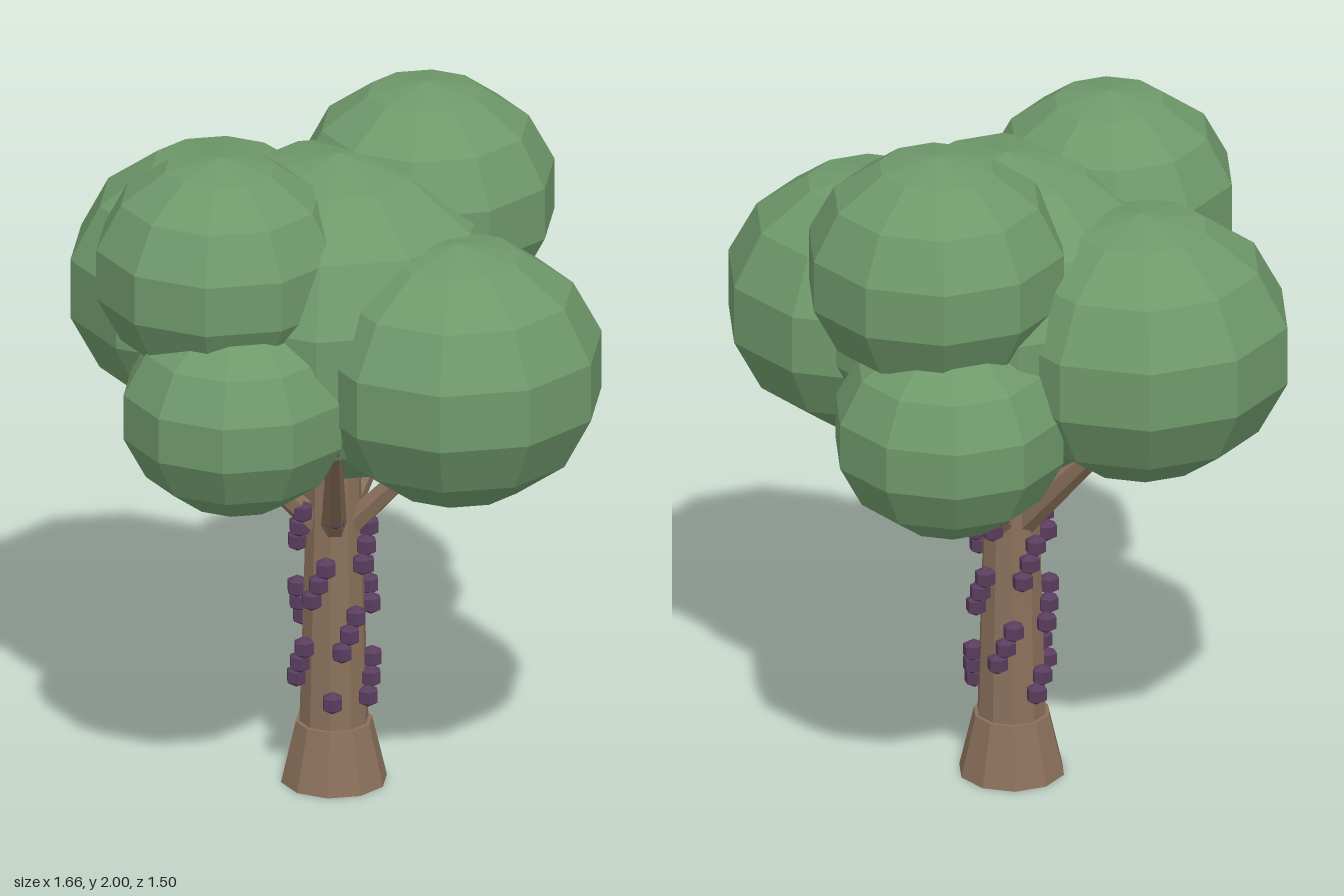
import * as THREE from 'three';

export function createModel() {
  const tree = new THREE.Group();
  tree.name = 'tree';

  const makeMaterial = (name, color) => {
    const m = new THREE.MeshStandardMaterial({ color, flatShading: true });
    m.name = name;
    return m;
  };
  const leaf = makeMaterial('leafGreen', 0x6f996b);
  const bark = makeMaterial('barkBrown', 0x8a705b);
  const fruit = makeMaterial('fruitPurple', 0x5a3d5e);

  const add = (name, geometry, material, x, y, z) => {
    const mesh = new THREE.Mesh(geometry, material);
    mesh.name = name;
    mesh.position.set(x, y, z);
    tree.add(mesh);
    return mesh;
  };

  const cx = -0.015, cz = -0.008; // trunk axis

  // Flared foot and tapering trunk, ten sided with corners on the x axis
  const tapered = (top, bottom, height) =>
    new THREE.CylinderGeometry(top, bottom, height, 10).rotateY(Math.PI / 2);
  add('trunkFoot', tapered(0.108, 0.15, 0.18), bark, cx, 0.09, cz);
  add('trunk', tapered(0.075, 0.1, 0.85), bark, cx, 0.525, cz);

  // Five branches spreading up into the crown
  const up = new THREE.Vector3(0, 1, 0);
  for (let i = 0; i < 5; i++) {
    const a = THREE.MathUtils.degToRad(65 + 72 * i);
    const start = new THREE.Vector3(cx + 0.02 * Math.cos(a), 0.74, cz + 0.02 * Math.sin(a));
    const end = new THREE.Vector3(cx + 0.47 * Math.cos(a), 1.22, cz + 0.47 * Math.sin(a));
    const dir = end.clone().sub(start);
    const mid = start.clone().add(end).multiplyScalar(0.5);
    const branch = add('branch', new THREE.CylinderGeometry(0.018, 0.038, dir.length(), 6), bark, mid.x, mid.y, mid.z);
    branch.quaternion.setFromUnitVectors(up, dir.normalize());
  }

  // Leaf clumps: name, x, y, z, radius; all slightly flattened
  const clumps = [
    ['crownCentre', 0, 1.415, 0, 0.52],
    ['crownLeft', 0.42, 1.35, 0.12, 0.42],
    ['crownRight', -0.41, 1.4, -0.1, 0.43],
    ['crownFrontUpper', -0.21, 1.63, 0.322, 0.36],
    ['crownBackUpper', 0.12, 1.663, -0.32, 0.375],
    ['crownFrontLower', -0.105, 1.262, 0.442, 0.328],
    ['crownBackLower', 0.05, 1.23, -0.444, 0.335],
  ];
  for (const [name, x, y, z, r] of clumps) {
    add(name, new THREE.SphereGeometry(r, 10, 7), leaf, x, y, z).scale.y = 0.9;
  }

  // Fruit spiralling round the trunk: short slanted strings of three
  const berry = new THREE.SphereGeometry(0.034, 6, 3);
  for (let k = -2; k < 12; k++) {
    for (let j = 0; j < 3; j++) {
      const level = k + j;
      if (level < 0 || level > 11) continue;
      const a = THREE.MathUtils.degToRad(4 + 136.3 * k - 12 * j);
      const r = 0.108 - 0.0008 * level;
      add('berry', berry, fruit, cx + r * Math.cos(a), 0.27 + 0.05 * level, cz + r * Math.sin(a));
    }
  }
  return tree;
}
